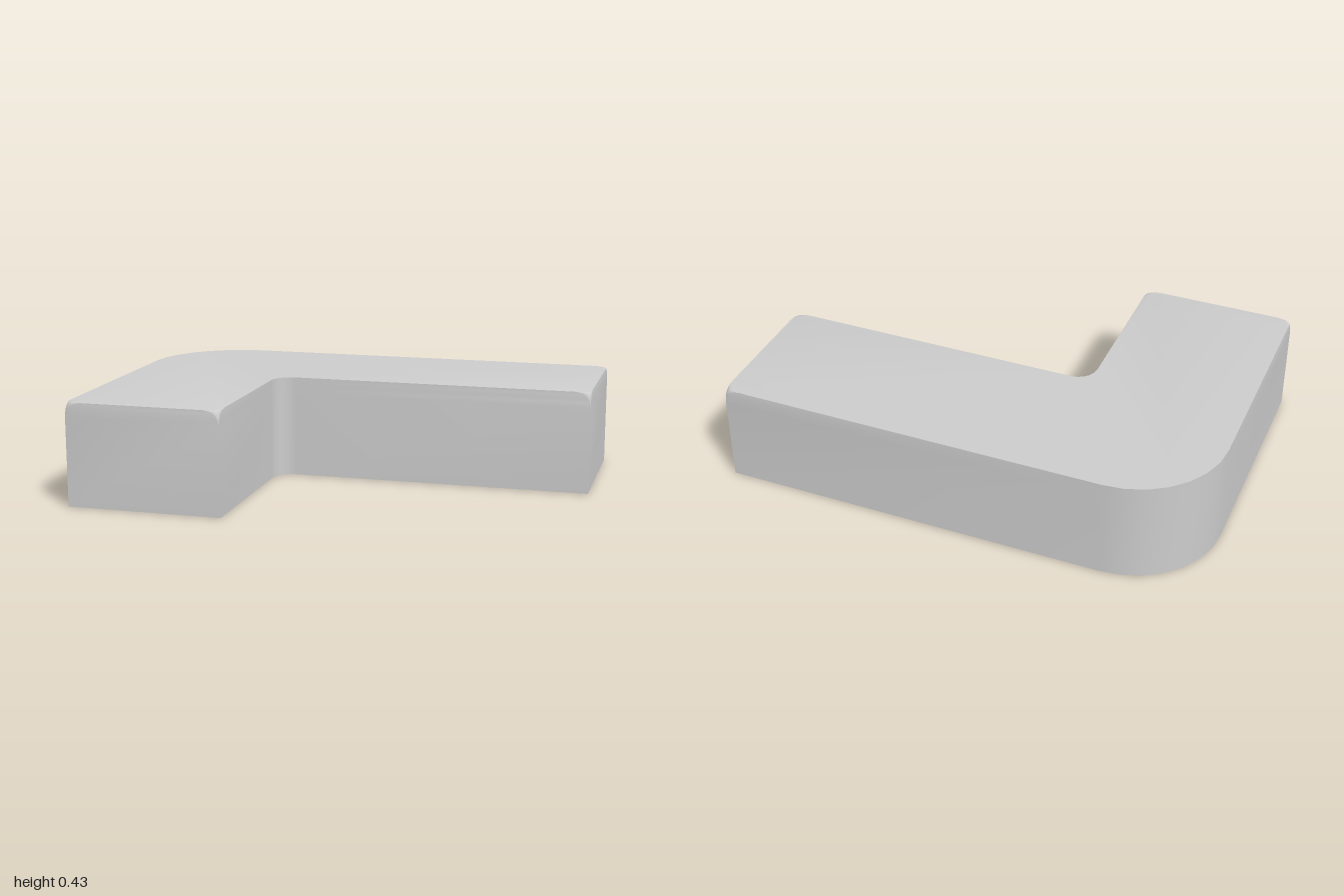
import * as THREE from 'three';
import { toCreasedNormals } from 'three/addons/utils/BufferGeometryUtils.js';

const HEIGHT = 0.43;
const TIP = 0.065; // rounding of the upper corners at both ends
const RINGS = 5;

// Corners of the L in (x, z), counter-clockwise from above.
// A radius of null marks an end corner that is rounded only near the top.
const CORNERS = [
  { x: -1, z: 0.68, r: null, n: 5 },
  { x: -0.35, z: 0.68, r: null, n: 5 },
  { x: -0.35, z: -0.065, r: 0.085, n: 5 }, // inside of the bend
  { x: 1, z: -0.065, r: null, n: 5 },
  { x: 1, z: -0.68, r: null, n: 5 },
  { x: -1, z: -0.68, r: 0.38, n: 7 }, // outside of the bend
];

// Outline of the L at one height, with end corners rounded by tip
function outline(tip) {
  const points = [];
  CORNERS.forEach((corner, i) => {
    const at = (k) => {
      const c = CORNERS[(k + CORNERS.length) % CORNERS.length];
      return new THREE.Vector2(c.x, c.z);
    };
    const p = at(i);
    const into = p.clone().sub(at(i - 1)).normalize();
    const out = at(i + 1).sub(p).normalize();
    const r = corner.r ?? tip;
    for (let k = 0; k <= corner.n; k++) {
      const a = (k / corner.n) * Math.PI / 2;
      points.push(p.clone()
        .addScaledVector(into, r * (Math.sin(a) - 1))
        .addScaledVector(out, r * (1 - Math.cos(a))));
    }
  });
  return points;
}

function bentBar() {
  // Levels: the floor, then a quarter circle of rings up to the top
  const levels = [{ y: 0, tip: 0 }];
  for (let k = 0; k <= RINGS; k++) {
    const a = (k / RINGS) * Math.PI / 2;
    levels.push({ y: HEIGHT - TIP + TIP * Math.sin(a), tip: TIP * (1 - Math.cos(a)) });
  }
  const loops = levels.map(({ y, tip }) =>
    outline(tip).map((p) => new THREE.Vector3(p.x, y, p.y)));

  const positions = [];
  const triangle = (a, b, c) => {
    // Skip faces that collapse where an end corner is still sharp
    if (new THREE.Triangle(a, b, c).getArea() < 1e-9) return;
    positions.push(...a.toArray(), ...b.toArray(), ...c.toArray());
  };

  // Walls
  for (let l = 0; l < loops.length - 1; l++) {
    const low = loops[l], up = loops[l + 1];
    for (let i = 0; i < low.length; i++) {
      const j = (i + 1) % low.length;
      triangle(low[i], low[j], up[j]);
      triangle(low[i], up[j], up[i]);
    }
  }

  // Top and bottom caps
  const cap = (loop, flip) => {
    const flat = loop.map((v) => new THREE.Vector2(v.x, -v.z));
    for (const [a, b, c] of THREE.ShapeUtils.triangulateShape(flat, [])) {
      if (flip) triangle(loop[a], loop[c], loop[b]);
      else triangle(loop[a], loop[b], loop[c]);
    }
  };
  cap(loops[loops.length - 1], false);
  cap(loops[0], true);

  const geometry = new THREE.BufferGeometry();
  geometry.setAttribute('position', new THREE.Float32BufferAttribute(positions, 3));
  return toCreasedNormals(geometry, 0.6);
}

export function createModel() {
  const model = new THREE.Group();
  model.name = 'cornerBlock';
  const bar = new THREE.Mesh(bentBar(), new THREE.MeshStandardMaterial({ color: 0xcccccc }));
  bar.name = 'bentBar';
  model.add(bar);
  return model;
}
